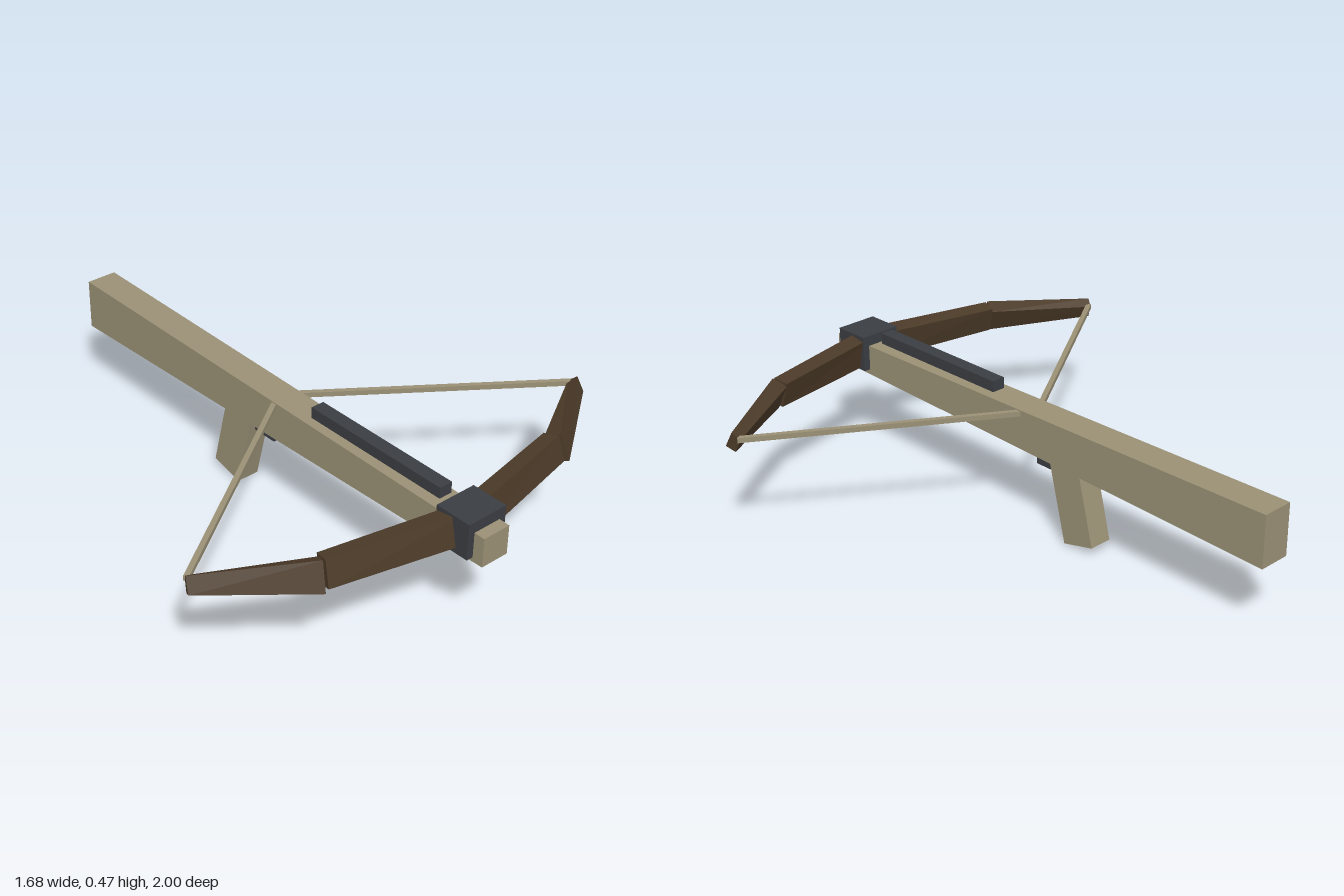
import * as THREE from 'three';

const wood = new THREE.MeshStandardMaterial({ color: 0x9a9075, flatShading: true });
const darkWood = new THREE.MeshStandardMaterial({ color: 0x4b3a28, flatShading: true });
const iron = new THREE.MeshStandardMaterial({ color: 0x3a3d42, flatShading: true });

function addMesh(group, name, geometry, material) {
  const mesh = new THREE.Mesh(geometry, material);
  mesh.name = name;
  group.add(mesh);
  return mesh;
}

// Box given by its extents on each axis
function block(x0, x1, y0, y1, z0, z1) {
  return new THREE.BoxGeometry(x1 - x0, y1 - y0, z1 - z0)
    .translate((x0 + x1) / 2, (y0 + y1) / 2, (z0 + z1) / 2);
}

// Moves each corner of a box; rule gets the corner's signs and returns [x, y, z]
function shapedBox(rule) {
  const geometry = new THREE.BoxGeometry(2, 2, 2);
  const p = geometry.attributes.position;
  for (let i = 0; i < p.count; i++) p.setXYZ(i, ...rule(p.getX(i), p.getY(i), p.getZ(i)));
  geometry.computeVertexNormals();
  return geometry;
}

// Limb between two sections; corners run top back, top front, bottom front, bottom back
function limb(side, root, tip) {
  return shapedBox((sx, sy, sz) => {
    const corner = sy > 0 ? (sz > 0 ? 1 : 0) : (sz > 0 ? 2 : 3);
    const [x, y, z] = (sx * side > 0 ? tip : root)[corner];
    return [x * side, y, z];
  });
}

export function createModel() {
  const model = new THREE.Group();
  model.name = 'crossbow';

  // Stock, growing deeper toward the butt
  addMesh(model, 'stock', shapedBox((sx, sy, sz) => {
    const front = sz > 0;
    return [sx * (front ? 0.053 : 0.057), sy > 0 ? (front ? 0.42 : 0.445) : (front ? 0.315 : 0.26), sz];
  }), wood);

  // Raked grip, its top buried in the stock
  const grip = addMesh(model, 'grip',
    new THREE.BoxGeometry(0.086, 0.32, 0.13).translate(0, 0.16, -0.065), wood);
  grip.position.set(0, 0, -0.16);
  grip.rotation.x = 0.245;

  // Iron fittings
  addMesh(model, 'trigger', block(-0.015, 0.015, 0.235, 0.265, -0.13, 0), iron);
  addMesh(model, 'boltRail', block(-0.025, 0.025, 0.435, 0.475, 0.2, 0.785), iron);
  addMesh(model, 'limbMount', block(-0.078, 0.078, 0.33, 0.46, 0.825, 0.96), iron);

  // Bow limbs and string halves, mirrored
  const innerRoot = [[0, 0.442, 0.845], [0, 0.453, 0.907], [0, 0.348, 0.929], [0, 0.333, 0.867]];
  const innerTip = [[0.482, 0.435, 0.744], [0.495, 0.445, 0.797], [0.503, 0.357, 0.822], [0.49, 0.343, 0.768]];
  const outerRoot = [[0.478, 0.423, 0.75], [0.503, 0.447, 0.795], [0.52, 0.353, 0.829], [0.495, 0.338, 0.782]];
  const outerTip = [[0.816, 0.406, 0.552], [0.832, 0.428, 0.578], [0.842, 0.376, 0.602], [0.826, 0.359, 0.572]];
  for (const side of [1, -1]) {
    const label = side > 0 ? 'left' : 'right';
    addMesh(model, label + 'InnerLimb', limb(side, innerRoot, innerTip), darkWood);
    addMesh(model, label + 'OuterLimb', limb(side, outerRoot, outerTip), darkWood);

    const start = new THREE.Vector3(0, 0.42, 0.01);
    const end = new THREE.Vector3(side * 0.82, 0.404, 0.565);
    const string = addMesh(model, label + 'String',
      new THREE.BoxGeometry(0.018, 0.018, start.distanceTo(end)), wood);
    string.position.copy(start).lerp(end, 0.5);
    string.lookAt(end);
  }
  return model;
}
